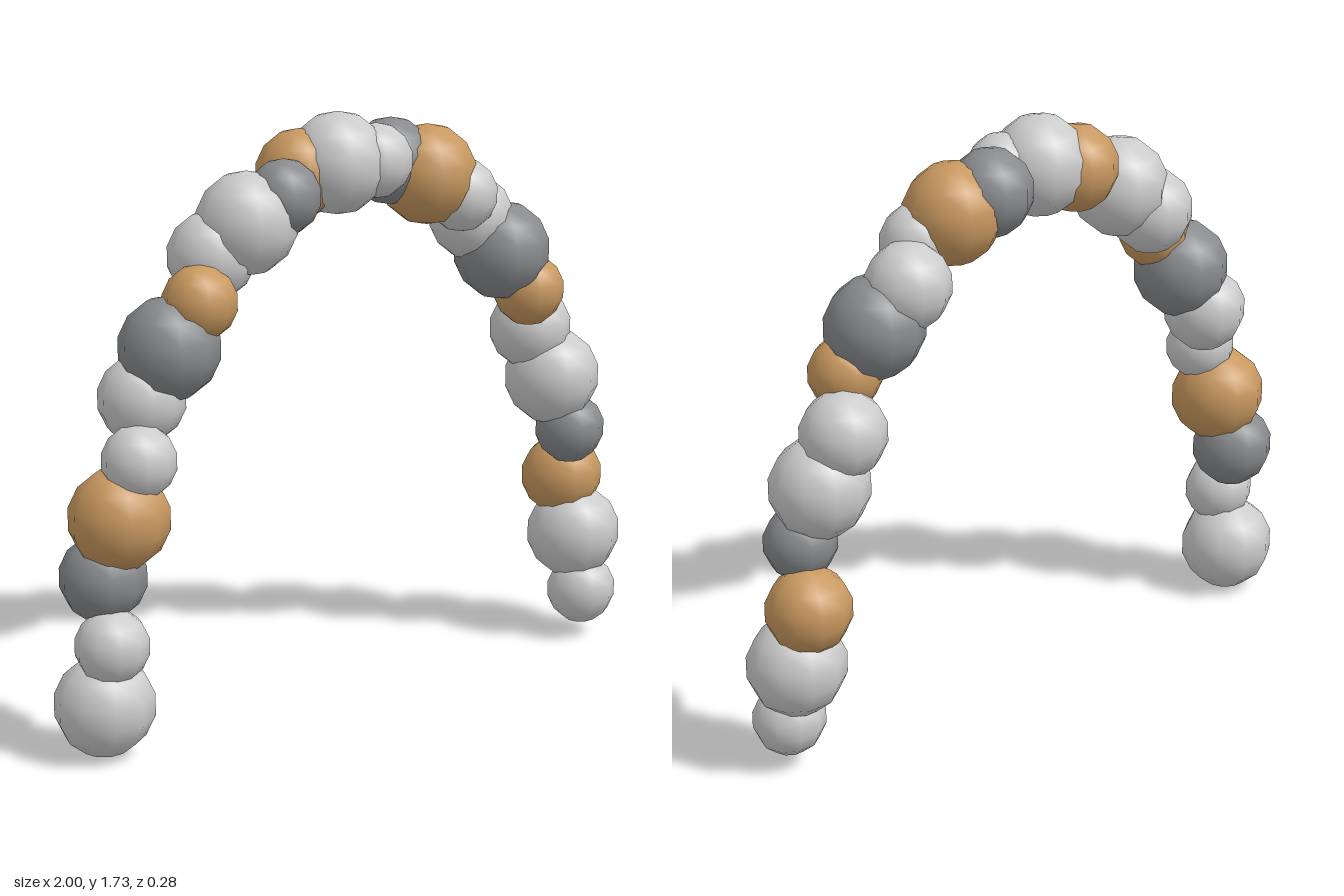
import * as THREE from 'three';

// Arch of balloons strung along a half ellipse; size, depth and colour repeat in cycles.
const COUNT = 26;
const HALF_SPAN = 0.86;
const RISE = 1.44;
const BASE_Y = 0.149;
const SIZES = [0.147, 0.108, 0.127];
const DEPTHS = [0.009, 0.044, -0.028];

export function createModel() {
  const arch = new THREE.Group();
  arch.name = 'balloonArch';

  const grey = new THREE.MeshStandardMaterial({ color: 0xcccccc });
  const darkGrey = new THREE.MeshStandardMaterial({ color: 0x888a8d });
  const tan = new THREE.MeshStandardMaterial({ color: 0xc8985f });
  const colours = [grey, grey, darkGrey, tan];

  // Coarse balloon, slightly flattened front to back
  const balloonShape = new THREE.SphereGeometry(1, 10, 7);
  balloonShape.scale(1, 1, 0.95);

  for (let i = 0; i < COUNT; i++) {
    const angle = (Math.PI * i) / (COUNT - 1);
    const balloon = new THREE.Mesh(balloonShape, colours[i % 4]);
    balloon.name = `balloon${i + 1}`;
    balloon.position.set(
      0.003 - HALF_SPAN * Math.cos(angle),
      BASE_Y + RISE * Math.sin(angle),
      DEPTHS[i % 3]
    );
    balloon.scale.setScalar(SIZES[i % 3]);
    arch.add(balloon);
  }
  return arch;
}
